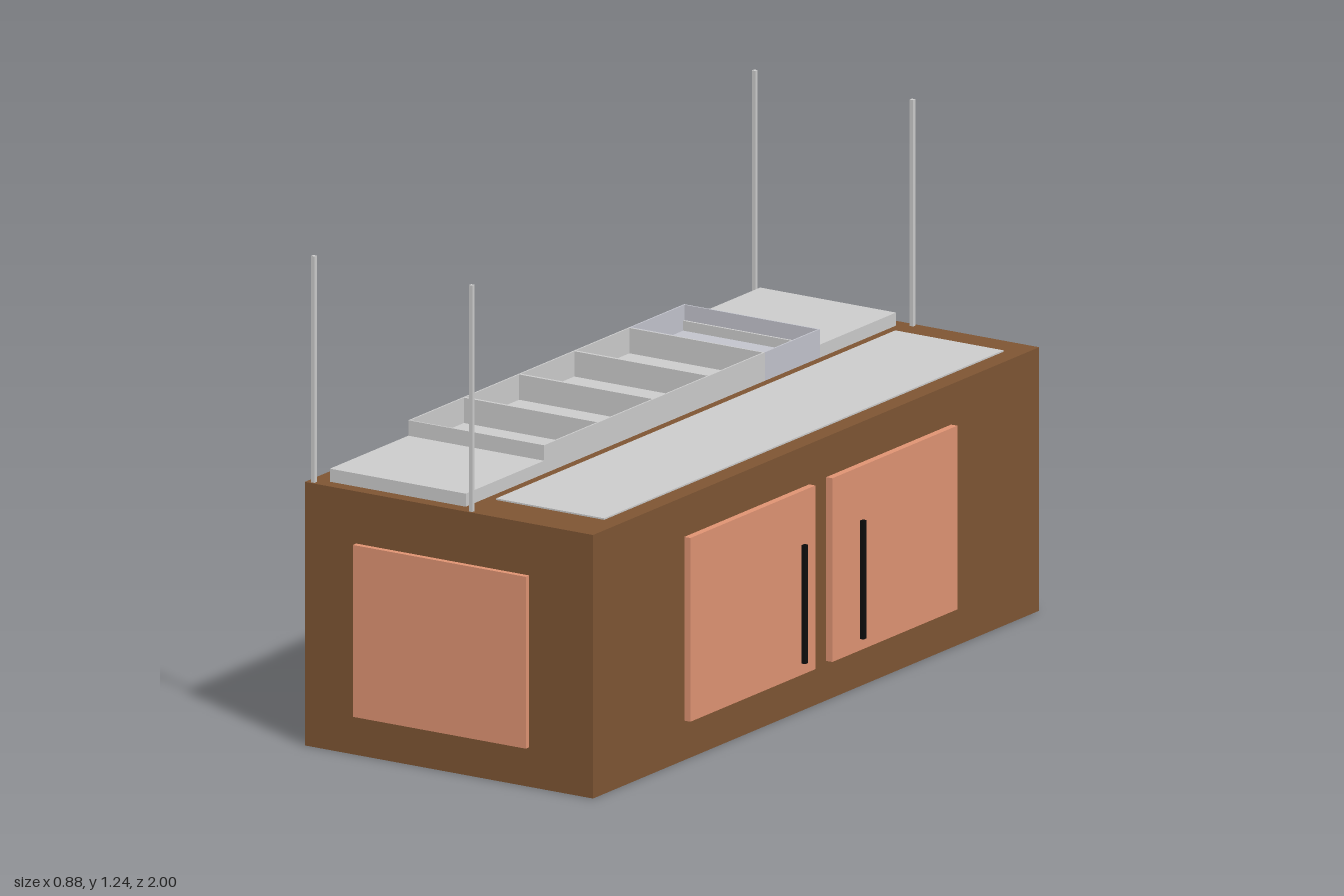
import * as THREE from 'three';

const paint = (color) => new THREE.MeshStandardMaterial({ color });

export function createModel() {
  const model = new THREE.Group();
  const grey = paint(0xcccccc);
  const blueGrey = paint(0xc2c3cc);
  const wood = paint(0x7e5533);
  const panel = paint(0xdf9373);
  const black = paint(0x0c0c0c);

  // Box given by its extents along each axis
  function box(name, [x0, x1], [y0, y1], [z0, z1], material, parent = model) {
    const mesh = new THREE.Mesh(new THREE.BoxGeometry(x1 - x0, y1 - y0, z1 - z0), material);
    mesh.position.set((x0 + x1) / 2, (y0 + y1) / 2, (z0 + z1) / 2);
    mesh.name = name;
    parent.add(mesh);
    return mesh;
  }

  // Counter body and its end panels
  box('counterBody', [-0.44, 0.4], [0, 0.667], [-0.98, 0.985], wood);
  box('frontPanel', [-0.29, 0.214], [0.1, 0.535], [0.985, 1], panel);
  box('backPanel', [-0.29, 0.214], [0.1, 0.535], [-1, -0.987], panel);

  // Cupboard doors with slim handles
  for (const [z0, z1, handleZ] of [[0.033, 0.583, 0.105], [-0.592, -0.042, -0.152]]) {
    box('door', [0.4, 0.418], [0.1, 0.565], [z0, z1], panel);
    box('doorHandle', [0.43, 0.44], [0.135, 0.435], [handleZ - 0.006, handleZ + 0.006], black);
  }

  // Work surface
  box('workSurface', [0.05, 0.365], [0.675, 0.679], [-0.875, 0.883], grey);

  // Raised platforms at both ends of the serving line
  const lineX = [-0.39, 0.006];
  box('frontPlatform', lineX, [0.667, 0.7], [0.59, 0.95], grey);
  box('backPlatform', lineX, [0.667, 0.7], [-0.945, -0.6], grey);

  // Row of open-topped trays
  const t = 0.004, count = 5, start = -0.61, length = 1.215 / count;
  for (let i = 0; i < count; i++) {
    const tray = new THREE.Group();
    tray.name = 'servingTray';
    const material = i === 0 ? blueGrey : grey;
    const [x0, x1] = lineX;
    const z0 = start + i * length, z1 = z0 + length;
    const wallY = [0.667, 0.739];
    box('trayFloor', [x0 + t, x1 - t], [0.667, 0.675], [z0 + t, z1 - t], material, tray);
    box('traySide', [x0, x0 + t], wallY, [z0, z1], material, tray);
    box('traySide', [x1 - t, x1], wallY, [z0, z1], material, tray);
    box('trayEnd', [x0 + t, x1 - t], wallY, [z0, z0 + t], material, tray);
    box('trayEnd', [x0 + t, x1 - t], wallY, [z1 - t, z1], material, tray);
    model.add(tray);
  }

  // Slim uprights at the corners of the serving line
  for (const x of [-0.42, 0.04]) {
    for (const z of [0.975, -0.966]) {
      box('upright', [x - 0.005, x + 0.005], [0.667, 1.24], [z - 0.005, z + 0.005], grey);
    }
  }

  return model;
}
